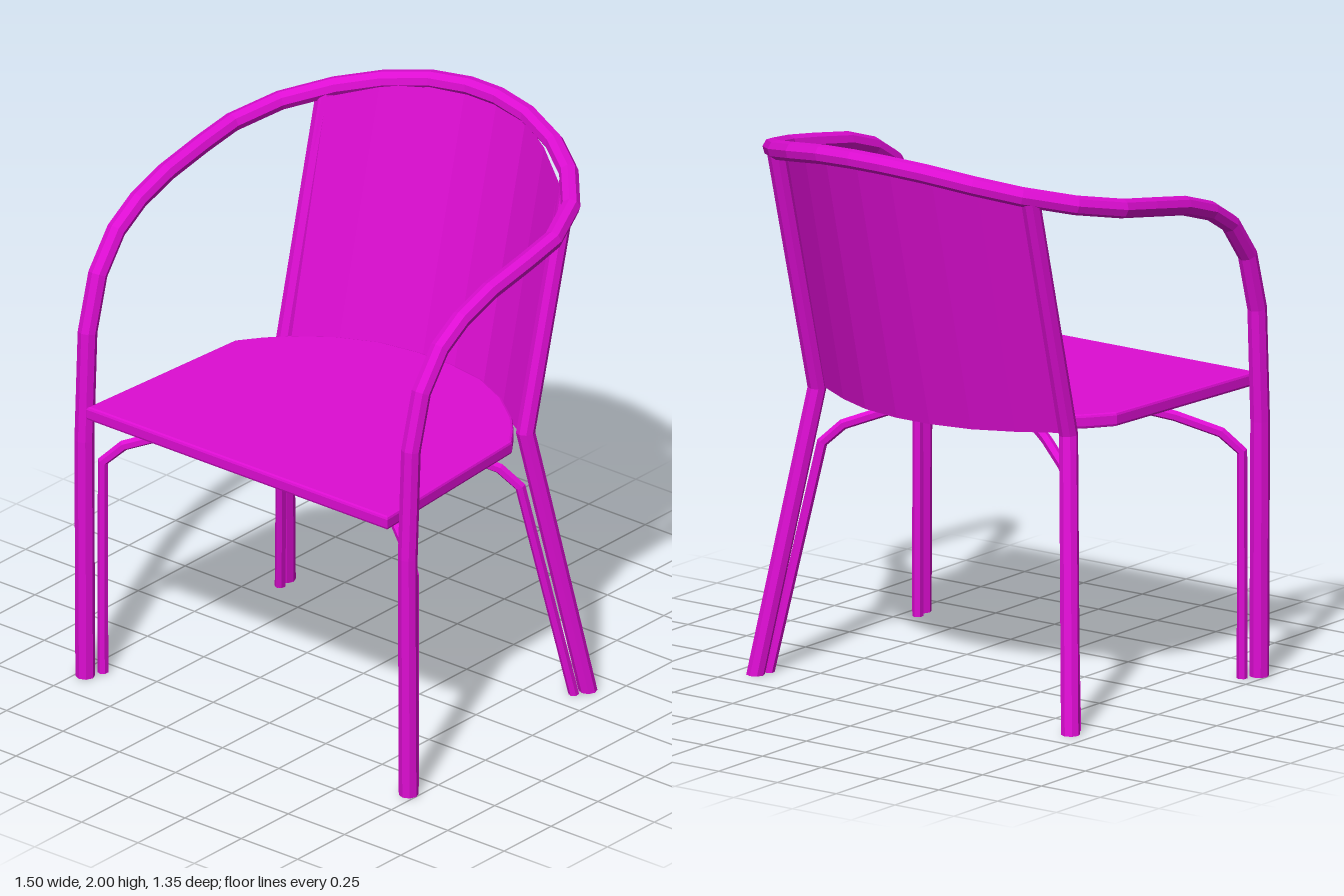
import * as THREE from 'three';

const paint = new THREE.MeshStandardMaterial({ color: 0xdd0dd2, flatShading: true, side: THREE.DoubleSide });
paint.name = 'magenta paint';

// Curve through exact corner points, with averaged directions at the bends
class BentRod extends THREE.Curve {
  constructor(points) {
    super();
    this.points = points.map((p) => new THREE.Vector3(...p));
  }
  getPointAt(u, target = new THREE.Vector3()) {
    return target.copy(this.points[Math.round(u * (this.points.length - 1))]);
  }
  getTangentAt(u, target = new THREE.Vector3()) {
    const p = this.points, n = p.length - 1, i = Math.round(u * n);
    target.set(0, 0, 0);
    if (i > 0) target.add(p[i].clone().sub(p[i - 1]).normalize());
    if (i < n) target.add(p[i + 1].clone().sub(p[i]).normalize());
    return target.normalize();
  }
}

export function createModel() {
  const chair = new THREE.Group();
  chair.name = 'armchair';

  function add(name, geometry) {
    const mesh = new THREE.Mesh(geometry, paint);
    mesh.name = name;
    chair.add(mesh);
  }

  // Rod with flat feet wherever an end reaches the floor
  function addRod(name, points, radius, sides) {
    const geometry = new THREE.TubeGeometry(new BentRod(points), points.length - 1, radius, sides);
    const pos = geometry.attributes.position;
    for (let i = 0; i < pos.count; i++) if (pos.getY(i) < 0.05) pos.setY(i, 0);
    add(name, geometry);
    for (const [x, y, z] of points) {
      if (y > 0) continue;
      add(name + 'Foot', new THREE.CircleGeometry(radius, sides).rotateX(Math.PI / 2).translate(x, 0.001, z));
    }
  }

  const mirrorPath = (half) => [...half, ...half.slice().reverse().map(([x, ...rest]) => [-x, ...rest])];

  // Front legs, arms and top rail in one continuous rod
  addRod('armRailAndFrontLegs', mirrorPath([
    [0.718, 0, 0.62], [0.718, 0.9, 0.625], [0.718, 1.3, 0.608], [0.718, 1.5, 0.553],
    [0.718, 1.63, 0.455], [0.718, 1.7, 0.34], [0.718, 1.75, 0.19], [0.718, 1.785, 0],
    [0.712, 1.812, -0.155], [0.645, 1.85, -0.33], [0.52, 1.89, -0.47], [0.38, 1.925, -0.56],
    [0.215, 1.955, -0.62], [0.065, 1.967, -0.645],
  ]), 0.034, 8);

  for (const side of [1, -1]) {
    // Rear leg bending into the back post
    addRod('rearLegAndPost', [
      [0.67 * side, 0, -0.392], [0.535 * side, 1.0, -0.222], [0.54 * side, 1.87, -0.445],
    ], 0.033, 8);

    // Thin brace: up a front leg, diagonally under the seat, down the opposite rear leg
    const arch = [[0, 0.8], [0.05, 0.865], [0.16, 0.92], [0.31, 0.967], [0.44, 0.982],
      [0.56, 0.982], [0.69, 0.967], [0.84, 0.92], [0.95, 0.865], [1, 0.8]]
      .map(([t, y]) => [side * (0.69 - 1.22 * t), y, 0.56 - 0.76 * t]);
    addRod('crossBrace', [[0.69 * side, 0, 0.56], ...arch, [-0.652 * side, 0, -0.338]], 0.019, 6);
  }

  // Seat plate with a softened edge and rounded back
  const bevel = 0.01;
  const outline = mirrorPath([
    [0.658, 0.664], [0.605, -0.05], [0.55, -0.125], [0.49, -0.19],
    [0.365, -0.285], [0.225, -0.35], [0.07, -0.375],
  ]).map(([x, z]) => new THREE.Vector2(x, z));
  const seat = new THREE.ExtrudeGeometry(new THREE.Shape(outline), {
    depth: 0.03, bevelSize: bevel, bevelThickness: bevel, bevelSegments: 2,
  });
  add('seat', seat.rotateX(Math.PI / 2).translate(0, 1.045, 0));

  // Curved, leaning back panel: bottom x, bottom z, top height
  const columns = mirrorPath([
    [0.53, -0.2, 1.865], [0.365, -0.3, 1.915], [0.225, -0.362, 1.945], [0.07, -0.392, 1.957],
  ]);
  const corners = [], faces = [];
  columns.forEach(([x, z, top], i) => {
    corners.push(x, 1.0, z, x, top, z - 0.244 * (top - 1));
    const a = i * 2;
    if (i < columns.length - 1) faces.push(a, a + 1, a + 2, a + 2, a + 1, a + 3);
  });
  const panel = new THREE.BufferGeometry();
  panel.setAttribute('position', new THREE.Float32BufferAttribute(corners, 3));
  panel.setIndex(faces);
  panel.computeVertexNormals();
  add('backPanel', panel);

  return chair;
}
